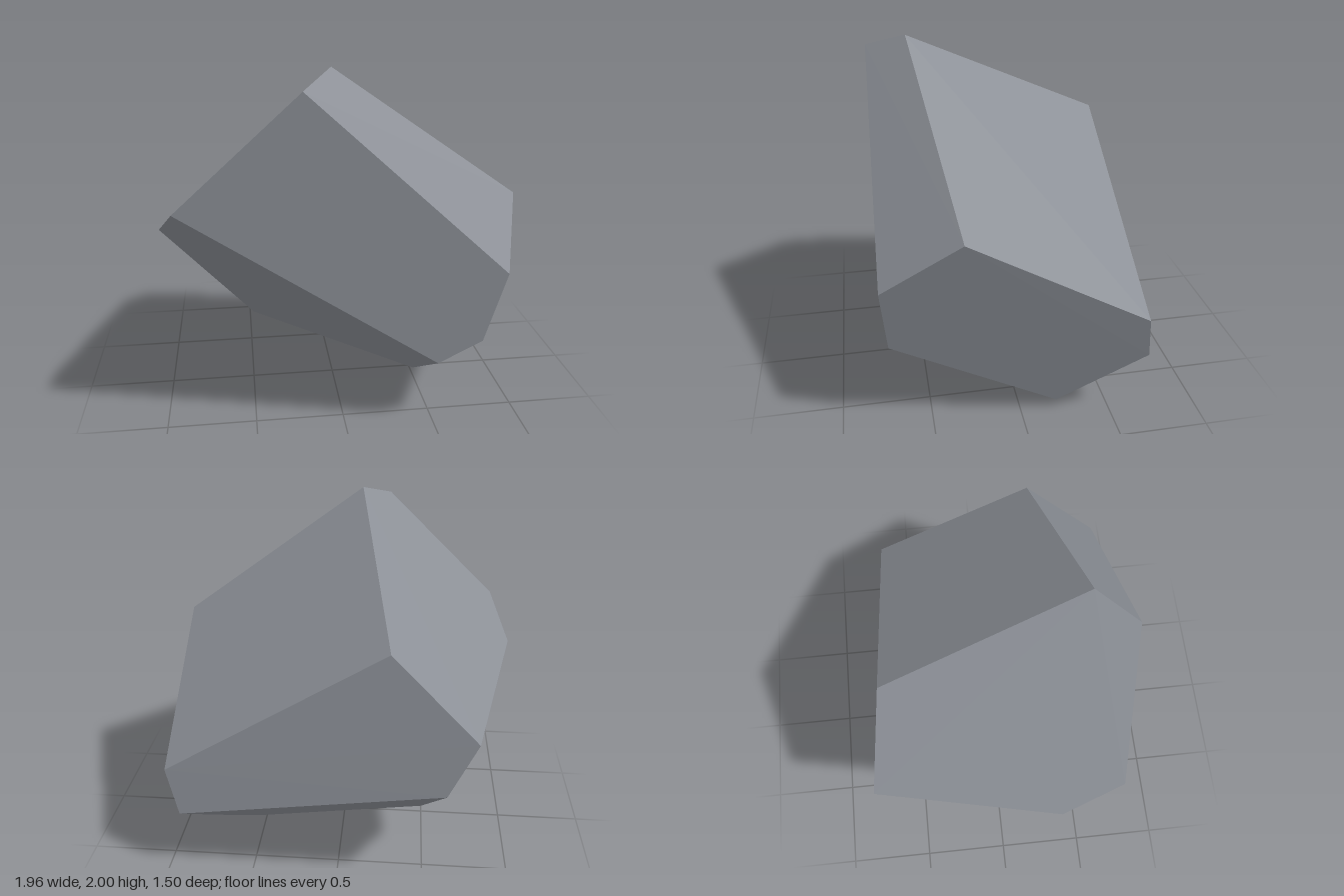
import * as THREE from 'three';
import { ConvexGeometry } from 'three/addons/geometries/ConvexGeometry.js';

// Corners of the faceted boulder
const corners = [
  // crest and upper front
  [-0.07, 2.0, 0.5], [-0.23, 1.917, 0.715], [-0.885, 1.305, 0.63], [-0.983, 1.118, 0.305],
  // front right side
  [0.98, 1.262, 0.338], [0.836, 0.95, 0.75], [0.73, 0.55, 0.72], [0.495, 0.415, 0.697],
  // underside
  [0.43, 0.218, 0.395], [0.54, 0, -0.125], [0.717, 0.055, -0.205], [-0.483, 0.295, -0.315],
  // back
  [0.953, 0.705, -0.628], [0.885, 0.433, -0.668], [-0.28, 1.465, -0.617],
  [-0.75, 1.02, -0.72], [-0.6, 0.705, -0.75],
];

export function createModel() {
  const group = new THREE.Group();
  group.name = 'rock';

  const stone = new THREE.MeshStandardMaterial({ color: 0x8b8f96, flatShading: true });
  stone.name = 'grey stone';

  // One solid convex stone with flat cut faces
  const boulder = new THREE.Mesh(
    new ConvexGeometry(corners.map((c) => new THREE.Vector3(...c))),
    stone,
  );
  boulder.name = 'boulder';
  group.add(boulder);
  return group;
}
